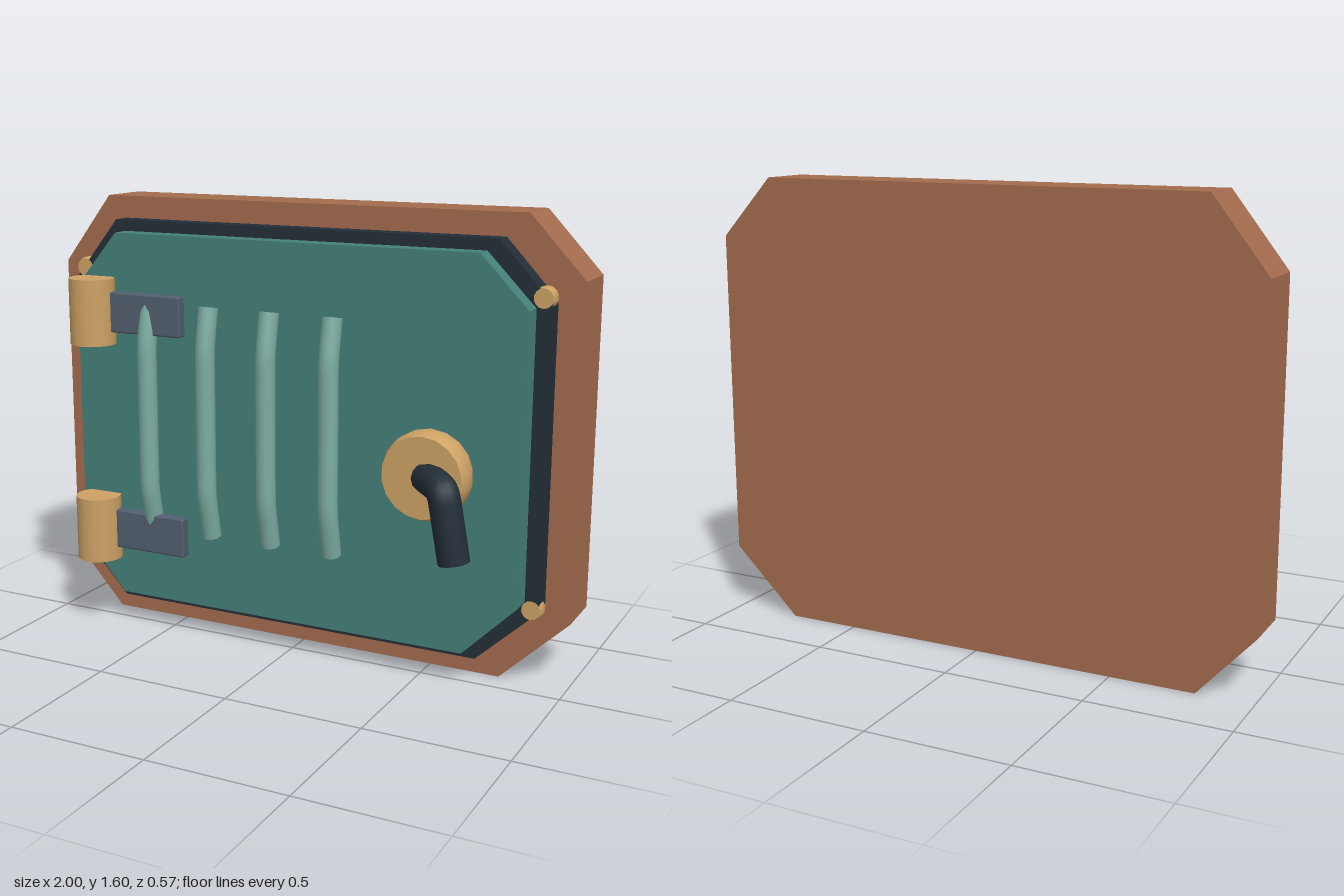
import * as THREE from 'three';
import { toCreasedNormals } from 'three/addons/utils/BufferGeometryUtils.js';
import { RoundedBoxGeometry } from 'three/addons/geometries/RoundedBoxGeometry.js';

const material = (name, color, side = THREE.FrontSide) => {
  const m = new THREE.MeshStandardMaterial({ color, side });
  m.name = name;
  return m;
};

export function createModel() {
  const group = new THREE.Group();
  const copper = material('copper', 0xa46c4e);
  const rubber = material('dark rubber', 0x232e38);
  const teal = material('teal paint', 0x458179);
  const paleTeal = material('pale teal', 0x7cada2);
  const brass = material('brass', 0xcda265);
  const steel = material('blue steel', 0x525f6f);

  const add = (name, geometry, mat, x = 0, y = 0, z = 0, parent = group) => {
    const mesh = new THREE.Mesh(geometry, mat);
    mesh.name = name;
    mesh.position.set(x, y, z);
    parent.add(mesh);
    return mesh;
  };

  // Flat slab with clipped corners between two depths
  const slab = (name, points, back, front, mat) => {
    const shape = new THREE.Shape(points.map(([x, y]) => new THREE.Vector2(x, y)));
    add(name, new THREE.ExtrudeGeometry(shape, { depth: front - back, bevelEnabled: false }), mat, 0, 0, back);
  };

  // Bent rod through a few points, with softened corners and closed ends
  const rod = (name, points, radius, bend, mat) => {
    const p = points.map((a) => new THREE.Vector3(...a));
    const path = new THREE.CurvePath();
    let from = p[0];
    for (let i = 1; i < p.length - 1; i++) {
      const a = p[i].clone().add(p[i - 1].clone().sub(p[i]).setLength(bend));
      const b = p[i].clone().add(p[i + 1].clone().sub(p[i]).setLength(bend));
      path.add(new THREE.LineCurve3(from, a));
      path.add(new THREE.QuadraticBezierCurve3(a, p[i], b));
      from = b;
    }
    const last = p[p.length - 1];
    path.add(new THREE.LineCurve3(from, last));
    const part = new THREE.Group();
    part.name = name;
    group.add(part);
    add(name + 'Body', new THREE.TubeGeometry(path, 40, radius, 12), mat, 0, 0, 0, part);
    [[p[0], p[1]], [last, p[p.length - 2]]].forEach(([end, inner]) => {
      const cap = add(name + 'Cap', new THREE.CircleGeometry(radius, 12), mat, end.x, end.y, end.z, part);
      cap.quaternion.setFromUnitVectors(new THREE.Vector3(0, 0, 1), end.clone().sub(inner).normalize());
    });
  };

  // Layered hatch: frame, seal and door
  slab('frame', [[-0.8, 0], [0.755, 0], [1, 0.235], [1, 1.39], [0.805, 1.6], [-0.805, 1.6], [-1, 1.35], [-1, 0.22]],
    -0.285, -0.09, copper);
  slab('seal', [[-0.73, 0.08], [0.69, 0.08], [0.91, 0.285], [0.91, 1.325], [0.73, 1.52], [-0.73, 1.52], [-0.91, 1.3], [-0.91, 0.27]],
    -0.09, -0.02, rubber);
  slab('door', [[-0.69, 0.12], [0.665, 0.12], [0.86, 0.315], [0.86, 1.305], [0.69, 1.48], [-0.69, 1.48], [-0.86, 1.28], [-0.86, 0.305]],
    -0.02, 0.05, teal);

  // Rounded brass disc turned about z
  const disc = (profile, segments) => {
    const g = new THREE.LatheGeometry(profile.map(([r, h]) => new THREE.Vector2(r, h)), segments);
    return toCreasedNormals(g.rotateX(Math.PI / 2), 0.6);
  };

  // Rivets at the clipped corners
  const rivet = disc([[0, -0.028], [0.033, -0.028], [0.038, -0.014], [0.038, 0.014], [0.033, 0.028], [0, 0.028]], 14);
  for (const x of [-0.872, 0.882]) {
    for (const y of [0.288, 1.338]) add('rivet', rivet, brass, x, y, -0.047);
  }

  // Hinges: barrel and strap
  for (const y of [0.387, 1.2]) {
    add('hingeBarrel', new THREE.CylinderGeometry(0.083, 0.083, 0.24, 28), brass, -0.763, y, 0.1);
    add('hingeStrap', new RoundedBoxGeometry(0.36, 0.146, 0.042, 2, 0.007), steel, -0.575, y, 0.086);
  }

  // Four vertical grip bars bent in toward the door
  for (let i = 0; i < 4; i++) {
    const x = -0.535 + i * 0.24;
    rod('gripBar', [[x, 0.405, 0.068], [x, 0.56, 0.1], [x, 1.09, 0.1], [x, 1.24, 0.071]], 0.035, 0.04, paleTeal);
  }

  // Latch: round boss with a bent lever
  add('latchBoss', disc([[0, 0], [0.143, 0], [0.151, 0.022], [0.153, 0.052], [0.151, 0.08], [0.141, 0.103], [0, 0.103]], 18),
    brass, 0.547, 0.747, 0.05);
  rod('latchLever', [[0.555, 0.748, 0.13], [0.655, 0.745, 0.233], [0.699, 0.505, 0.233]], 0.053, 0.045, rubber);

  return group;
}
